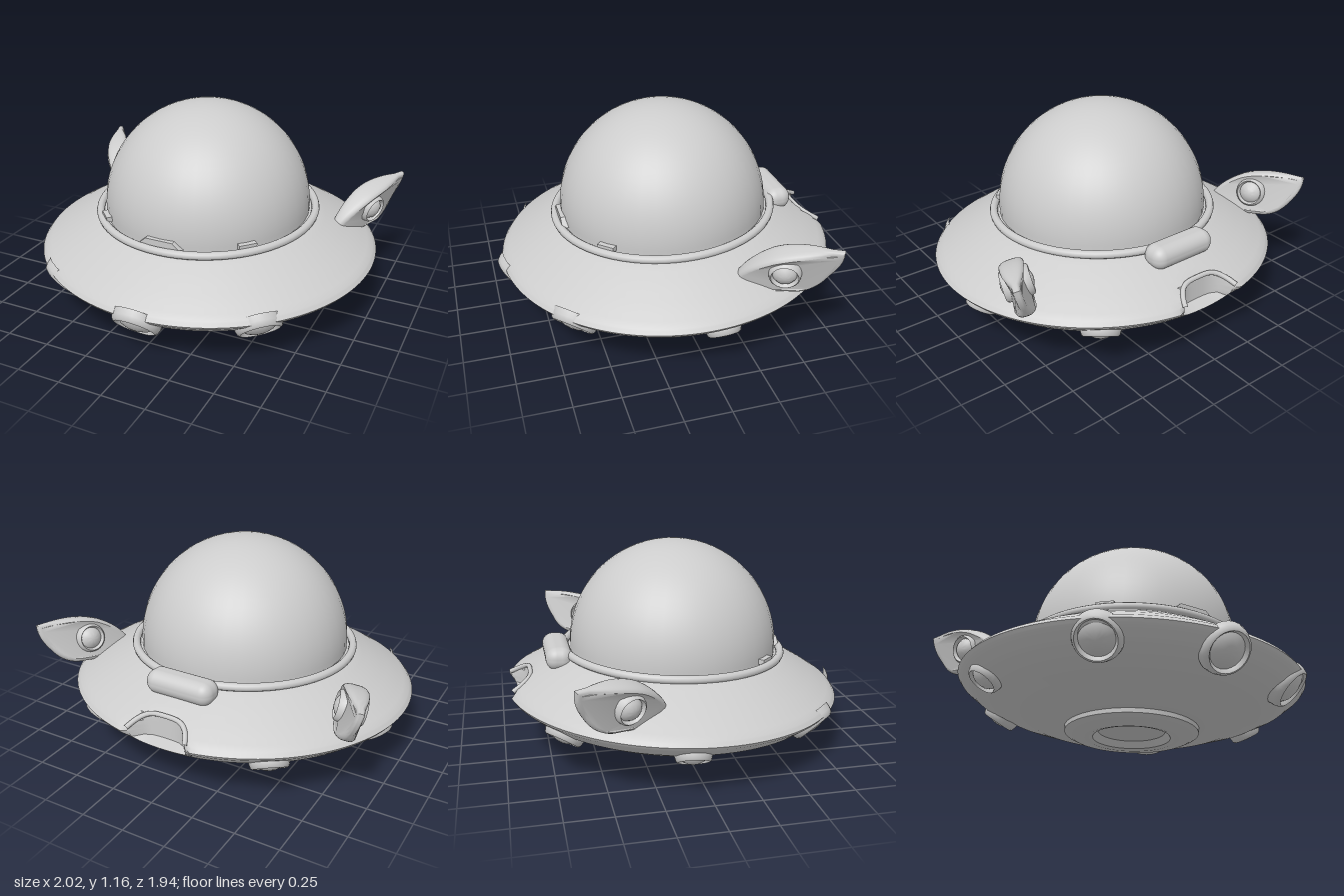
import * as THREE from 'three';
import { mergeVertices, toCreasedNormals } from 'three/addons/utils/BufferGeometryUtils.js';
import { RoundedBoxGeometry } from 'three/addons/geometries/RoundedBoxGeometry.js';

const grey = new THREE.MeshStandardMaterial({ color: 0xcccccc });
grey.name = 'plain grey';

const pts = (list) => list.map(([x, y]) => new THREE.Vector2(x, y));

function part(name, geometry, parent, x = 0, y = 0, z = 0) {
  const mesh = new THREE.Mesh(geometry, grey);
  mesh.name = name;
  mesh.position.set(x, y, z);
  parent.add(mesh);
  return mesh;
}

function smooth(geometry, crease) {
  geometry.deleteAttribute('normal');
  geometry.deleteAttribute('uv');
  return toCreasedNormals(mergeVertices(geometry, 1e-4), crease);
}

// depth of the U-shaped notch at the back rim
const notchZ = (x) => -0.83 - 0.13 * (Math.abs(x) / 0.19) ** 4;

function hullGeometry() {
  const corners = pts([[0.3, 0.05], [0.4, 0.06], [0.6, 0.1], [0.8, 0.17], [0.91, 0.225],
    [0.985, 0.285], [1, 0.305], [0.98, 0.33], [0.88, 0.39], [0.77, 0.45], [0.66, 0.505], [0.57, 0.53]]);
  const profile = [corners[0]];
  for (let i = 1; i < corners.length; i++) {
    for (let k = 1; k <= 3; k++) profile.push(corners[i - 1].clone().lerp(corners[i], k / 3));
  }
  const g = new THREE.LatheGeometry(profile, 144);
  const p = g.attributes.position;
  for (let i = 0; i < p.count; i++) {
    let z = p.getZ(i) * 0.965;
    if (z < 0 && p.getY(i) > 0.25 && Math.abs(p.getX(i)) < 0.2) z = Math.max(z, notchZ(p.getX(i)));
    p.setZ(i, z);
  }
  return smooth(g, 0.6);
}

// raised lens with a rolled rim, pointing along +z
function lensGeometry(r, skirt) {
  const g = new THREE.LatheGeometry(pts([[r * 1.12, -skirt], [r * 1.08, -0.02], [r, 0.005],
    [r * 0.9, 0.012], [r * 0.82, 0], [r * 0.78, -0.01], [r * 0.6, 0.008], [r * 0.3, 0.02], [0, 0.024]]), 28);
  g.rotateX(Math.PI / 2);
  return smooth(g, 0.9);
}

// swept blade, thickest around its lens and thin at the tip
function finGeometry() {
  const s = new THREE.Shape();
  s.moveTo(0.01, -0.06);
  s.quadraticCurveTo(0.06, 0.03, 0.18, 0.095);
  s.quadraticCurveTo(0.3, 0.15, 0.51, 0.14);
  s.quadraticCurveTo(0.51, 0.08, 0.45, 0);
  s.quadraticCurveTo(0.4, -0.08, 0.32, -0.09);
  s.lineTo(0.08, -0.12);
  const g = new THREE.ExtrudeGeometry(s, {
    depth: 0.03, bevelThickness: 0.035, bevelSize: 0.022, bevelSegments: 4, curveSegments: 10,
  });
  g.translate(0, 0, -0.015);
  const p = g.attributes.position;
  for (let i = 0; i < p.count; i++) {
    p.setZ(i, p.getZ(i) * Math.max(0.4, 1.3 - 14 * (p.getX(i) - 0.22) ** 2));
  }
  return smooth(g, 0.7);
}

export function createModel() {
  const model = new THREE.Group();
  model.name = 'flyingSaucer';

  // saucer body, leaning slightly forward
  const body = new THREE.Group();
  body.name = 'body';
  body.position.set(0, 0.012, -0.02);
  body.rotation.x = 0.038;
  model.add(body);
  part('hull', hullGeometry(), body);

  const base = new THREE.LatheGeometry(pts([[0, 0.06], [0.1, 0.056], [0.19, 0.045], [0.22, 0.008],
    [0.25, 0], [0.34, 0.015], [0.38, 0.035], [0.385, 0.08]]), 48);
  part('base', smooth(base, 0.6), body);

  part('dome', new THREE.SphereGeometry(0.6, 40, 20, 0, Math.PI * 2, 0, Math.PI / 2), body, 0, 0.553, 0);
  part('domeSkirt', new THREE.CylinderGeometry(0.6, 0.6, 0.04, 40, 1, true), body, 0, 0.535, 0);
  const ring = new THREE.TorusGeometry(0.635, 0.023, 10, 72);
  ring.rotateX(Math.PI / 2);
  part('domeRing', ring, body, 0, 0.525, 0);

  // latches around the dome
  part('rearLatch', new RoundedBoxGeometry(0.4, 0.13, 0.15, 5, 0.06), body, 0, 0.505, -0.675);
  const latch = new THREE.ExtrudeGeometry(
    new THREE.Shape(pts([[-0.13, 0], [0.13, 0], [0.08, 0.045], [-0.08, 0.045]])),
    { depth: 0.04, bevelEnabled: false });
  part('frontLatch', latch, body, 0, 0.535, 0.58);
  for (const side of [-1, 1]) {
    const clip = part('clip', new THREE.BoxGeometry(0.1, 0.03, 0.04), body, side * 0.43, 0.55, 0.43);
    clip.rotation.y = side * 0.78;
  }

  // raised lip along the top of the rear notch
  const lip = [];
  for (let i = -8; i <= 8; i++) {
    const x = i * 0.0225;
    const z = notchZ(x);
    const r = Math.hypot(x, z / 0.965);
    lip.push(new THREE.Vector3(x, 0.505 - (Math.min(r, 1) - 0.66) * 0.54, z));
  }
  part('notchLip', new THREE.TubeGeometry(new THREE.CatmullRomCurve3(lip), 32, 0.014, 8), body);

  // portholes: angle from the front, distance, height, downward tilt, lens radius
  const portholes = [[0, 0.91, 0.222, 0.72, 0.125]];
  for (const side of [-1, 1]) {
    portholes.push([side * 0.73, 0.91, 0.225, 0.75, 0.12]);
    portholes.push([side * 1.65, 0.885, 0.19, 1.0, 0.09]);
    portholes.push([side * 2.48, 0.875, 0.195, 0.95, 0.1]);
  }
  for (const [angle, dist, y, tilt, r] of portholes) {
    const lens = part('porthole', lensGeometry(r, 0.055), body,
      Math.sin(angle) * dist, y, Math.cos(angle) * dist);
    lens.rotation.set(tilt, angle, 0, 'YXZ');
  }

  // swept fins leaning outward, with a round lens on each face
  const finShape = finGeometry();
  for (const side of [-1, 1]) {
    const fin = new THREE.Group();
    fin.name = side > 0 ? 'leftFin' : 'rightFin';
    fin.position.set(side * 0.745, 0.505, -0.2);
    fin.rotation.set(side * 0.25, side > 0 ? 1.15 : Math.PI - 1.15, 0, 'YXZ');
    model.add(fin);
    part('finBlade', finShape, fin);
    for (const face of [-1, 1]) {
      const eye = part('finLens', lensGeometry(0.08, 0.03), fin, 0.24, 0.015, face * 0.064);
      if (face < 0) eye.rotation.y = Math.PI;
    }
  }
  return model;
}
